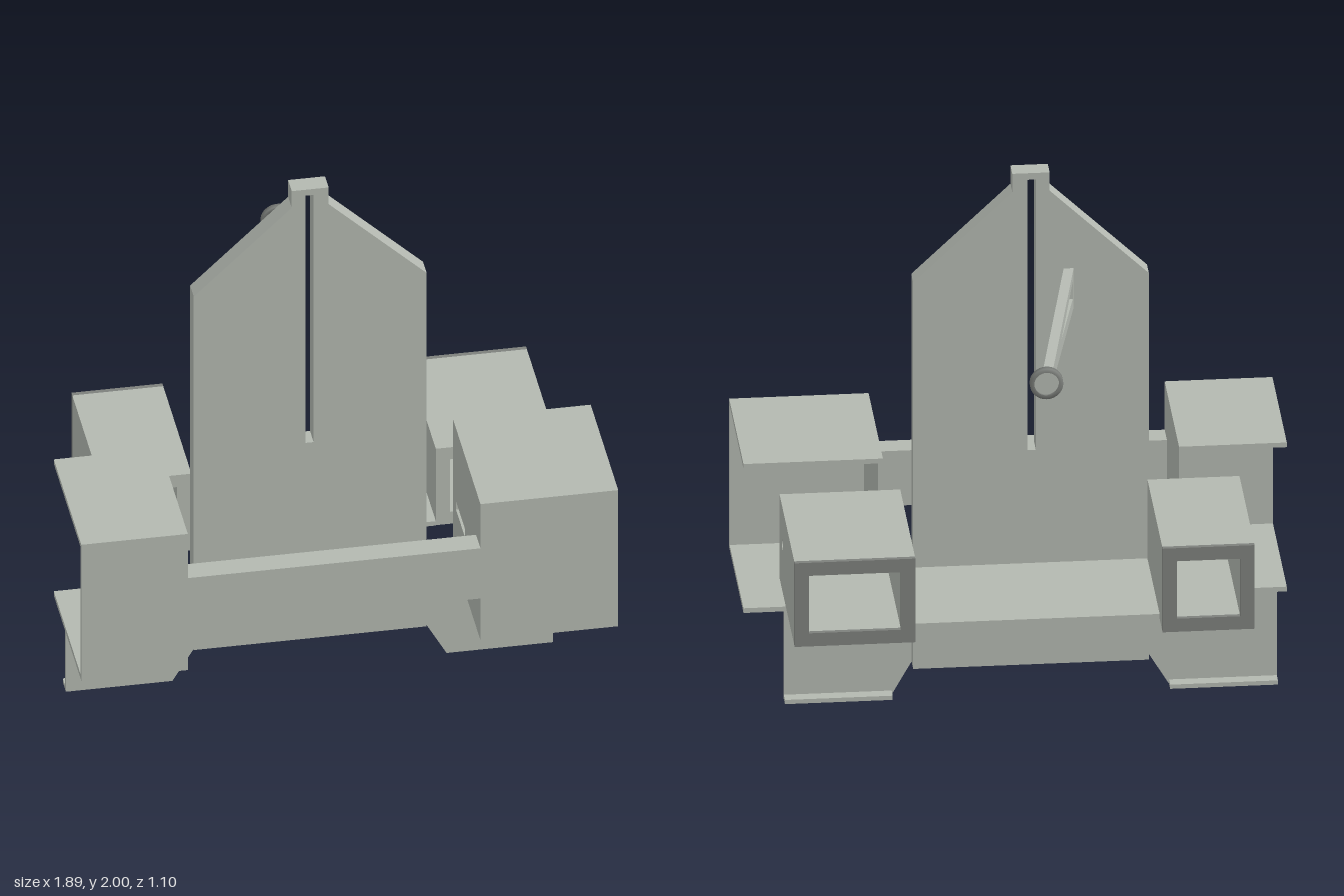
import * as THREE from 'three';

const lightGrey = new THREE.MeshStandardMaterial({ color: 0xb3b8b0 });
lightGrey.name = 'light grey';
const darkGrey = new THREE.MeshStandardMaterial({ color: 0x7d807c });
darkGrey.name = 'dark grey';

const toPoints = (list) => list.map(([x, y]) => new THREE.Vector2(x, y));
const rect = (x0, x1, y0, y1) => [[x0, y0], [x1, y0], [x1, y1], [x0, y1]];

// Extrude an outline with holes to a given depth
function extrude(outline, holes, depth) {
  const shape = new THREE.Shape(toPoints(outline));
  for (const hole of holes) shape.holes.push(new THREE.Path(toPoints(hole)));
  return new THREE.ExtrudeGeometry(shape, { depth, bevelEnabled: false });
}

export function createModel() {
  const model = new THREE.Group();
  model.name = 'bracketAssembly';

  const add = (name, geometry, material = lightGrey) => {
    const mesh = new THREE.Mesh(geometry, material);
    mesh.name = name;
    model.add(mesh);
    return mesh;
  };
  const box = (name, x0, x1, y0, y1, z0, z1) =>
    add(name, new THREE.BoxGeometry(x1 - x0, y1 - y0, z1 - z0))
      .position.set((x0 + x1) / 2, (y0 + y1) / 2, (z0 + z1) / 2);
  // Outline in x and y, spanning z0 to z1
  const slab = (name, outline, holes, z0, z1, material) =>
    add(name, extrude(outline, holes, z1 - z0).translate(0, 0, z0), material);
  // Outline in -z and y, spanning x0 to x1
  const sideSlab = (name, outline, holes, x0, x1) =>
    add(name, extrude(outline, holes, x1 - x0).rotateY(Math.PI / 2).translate(x0, 0, 0));

  // Tall back plate with tapered top and long slot
  slab('backPlate', [
    [-0.465, 0.12], [0.355, 0.12], [0.355, 1.6], [0.01, 1.93],
    [0.01, 2], [-0.12, 2], [-0.12, 1.93], [-0.465, 1.6],
  ], [rect(-0.072, -0.043, 0.94, 1.975)], 0.015, 0.085);

  // Thin lower wings with a lip along the bottom
  slab('rightWing', [[-0.915, 0], [-0.54, 0], [-0.465, 0.125], [-0.465, 0.36], [-0.915, 0.36]], [], 0.068, 0.085);
  slab('leftWing', [[0.425, 0], [0.8, 0], [0.8, 0.36], [0.355, 0.36], [0.355, 0.125]], [], 0.068, 0.085);
  box('rightWingLip', -0.915, -0.54, 0, 0.016, 0.025, 0.068);
  box('leftWingLip', 0.425, 0.8, 0, 0.016, 0.025, 0.068);

  // Front housings, open at the back and the outer side
  const t = 0.018;
  for (const [side, inner, outer] of [['right', -0.57, -0.945], ['left', 0.46, 0.945]]) {
    const x0 = Math.min(inner, outer), x1 = Math.max(inner, outer);
    box(side + 'HousingFront', x0, x1, 0.36, 0.93, 0.55 - t, 0.55);
    box(side + 'HousingTop', x0, x1, 0.93 - t, 0.93, 0.015, 0.55 - t);
    box(side + 'HousingBottom', x0, x1, 0.36, 0.36 + t, 0.015, 0.55 - t);
    const wallX = side === 'left' ? inner : inner - t;
    const slots = side === 'left' ? [rect(-0.25, -0.075, 0.59, 0.625)] : [];
    sideSlab(side + 'HousingInnerWall', rect(-0.55 + t, -0.015, 0.36 + t, 0.93 - t), slots, wallX, wallX + t);
  }
  box('frontBeam', -0.57, 0.46, 0.535, 0.745, 0.465, 0.55);

  // Rear square tubes with dark end frames; the outer left wall has a round hole
  const b = 0.05, yLow = 0.49, yHigh = 0.81, zBack = -0.535;
  const pin = [];
  for (let i = 0; i < 20; i++) {
    const a = (i / 20) * Math.PI * 2;
    pin.push([0.1 + 0.019 * Math.cos(a), 0.67 + 0.019 * Math.sin(a)]);
  }
  for (const [side, x0, x1] of [['right', -0.78, -0.46], ['left', 0.4, 0.82]]) {
    box(side + 'TubeTop', x0, x1, yHigh - b, yHigh, zBack, 0.013);
    box(side + 'TubeBottom', x0, x1, yLow, yLow + b, zBack, 0.013);
    const wall = rect(-0.013, -zBack, yLow + b, yHigh - b);
    sideSlab(side + 'TubeWallA', wall, [], x0, x0 + b);
    sideSlab(side + 'TubeWallB', wall, side === 'left' ? [pin] : [], x1 - b, x1);
    slab(side + 'TubeEndFrame', rect(x0, x1, yLow, yHigh),
      [rect(x0 + b, x1 - b, yLow + b, yHigh - b)], -0.552, zBack, darkGrey);
  }
  box('rearShelf', -0.46, 0.4, yLow, 0.508, -0.44, 0.015);

  // Slanted support arm, sheared sideways towards the knob
  const arm = sideSlab('supportArm',
    [[-0.015, 1.48], [0.535, 1.432], [0.535, 1.472], [-0.015, 1.63]],
    [[[0.008, 1.523], [0.29, 1.498], [0.008, 1.588]]], -0.2, -0.165);
  const p = arm.geometry.attributes.position;
  for (let i = 0; i < p.count; i++) p.setX(i, p.getX(i) - 0.235 * p.getZ(i));
  arm.geometry.computeVertexNormals();

  // Round knob with a dark rim
  const knob = add('knobDisc', new THREE.CylinderGeometry(0.044, 0.044, 0.014, 32).rotateX(Math.PI / 2));
  knob.position.set(-0.057, 1.457, -0.536);
  const rimProfile = toPoints([[0.043, -0.01], [0.058, -0.01], [0.058, 0.01], [0.043, 0.01], [0.043, -0.01]]);
  const rimGeometry = new THREE.LatheGeometry(rimProfile, 32).rotateX(Math.PI / 2);
  add('knobRim', rimGeometry, darkGrey).position.set(-0.057, 1.457, -0.54);

  return model;
}
